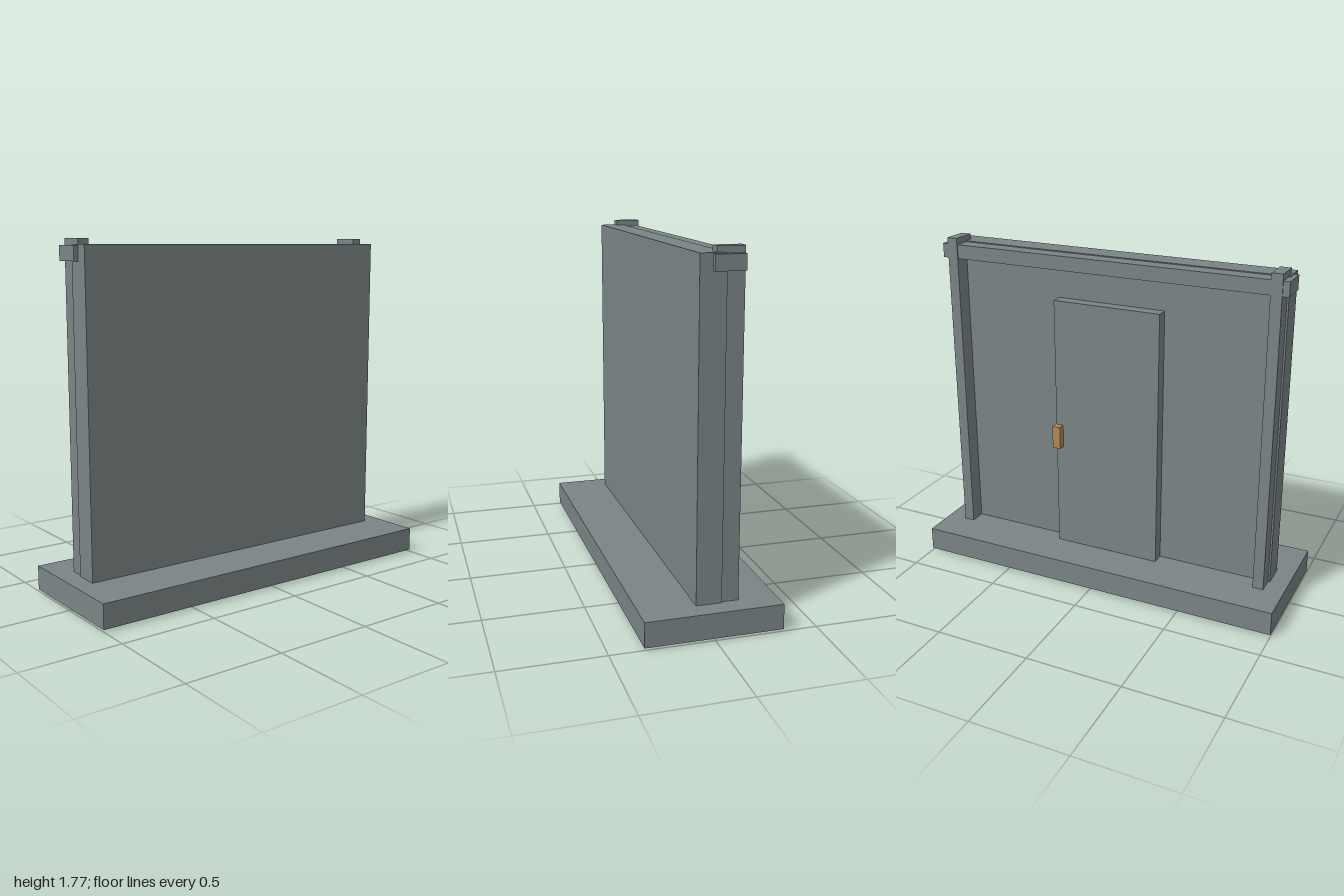
import * as THREE from 'three';

export function createModel() {
  const model = new THREE.Group();
  model.name = 'doorWall';

  const stone = new THREE.MeshStandardMaterial({ color: 0x7a8485 });
  stone.name = 'slate grey';
  const brass = new THREE.MeshStandardMaterial({ color: 0xb08a50 });
  brass.name = 'wooden tan';

  // Box given by its lower and upper limits on each axis
  function block(name, material, [x0, x1], [y0, y1], [z0, z1]) {
    const mesh = new THREE.Mesh(new THREE.BoxGeometry(x1 - x0, y1 - y0, z1 - z0), material);
    mesh.position.set((x0 + x1) / 2, (y0 + y1) / 2, (z0 + z1) / 2);
    mesh.name = name;
    model.add(mesh);
  }

  // Plinth, with the wall running through it
  block('base', stone, [-1, 1], [0.01, 0.135], [-0.335, 0.335]);
  block('wall', stone, [-0.905, 0.905], [0, 1.745], [-0.062, 0.063]);

  // Posts and the crossbeam that passes through them
  block('leftPost', stone, [0.84, 0.896], [0, 1.773], [-0.147, -0.015]);
  block('rightPost', stone, [-0.896, -0.84], [0, 1.773], [-0.147, -0.015]);
  block('crossbeam', stone, [-0.928, 0.928], [1.667, 1.74], [-0.142, 0.002]);

  // Door panel and its handle
  block('door', stone, [-0.292, 0.289], [0.12, 1.505], [-0.126, -0.05]);
  block('handle', brass, [0.25, 0.294], [0.706, 0.828], [-0.164, -0.124]);

  return model;
}
